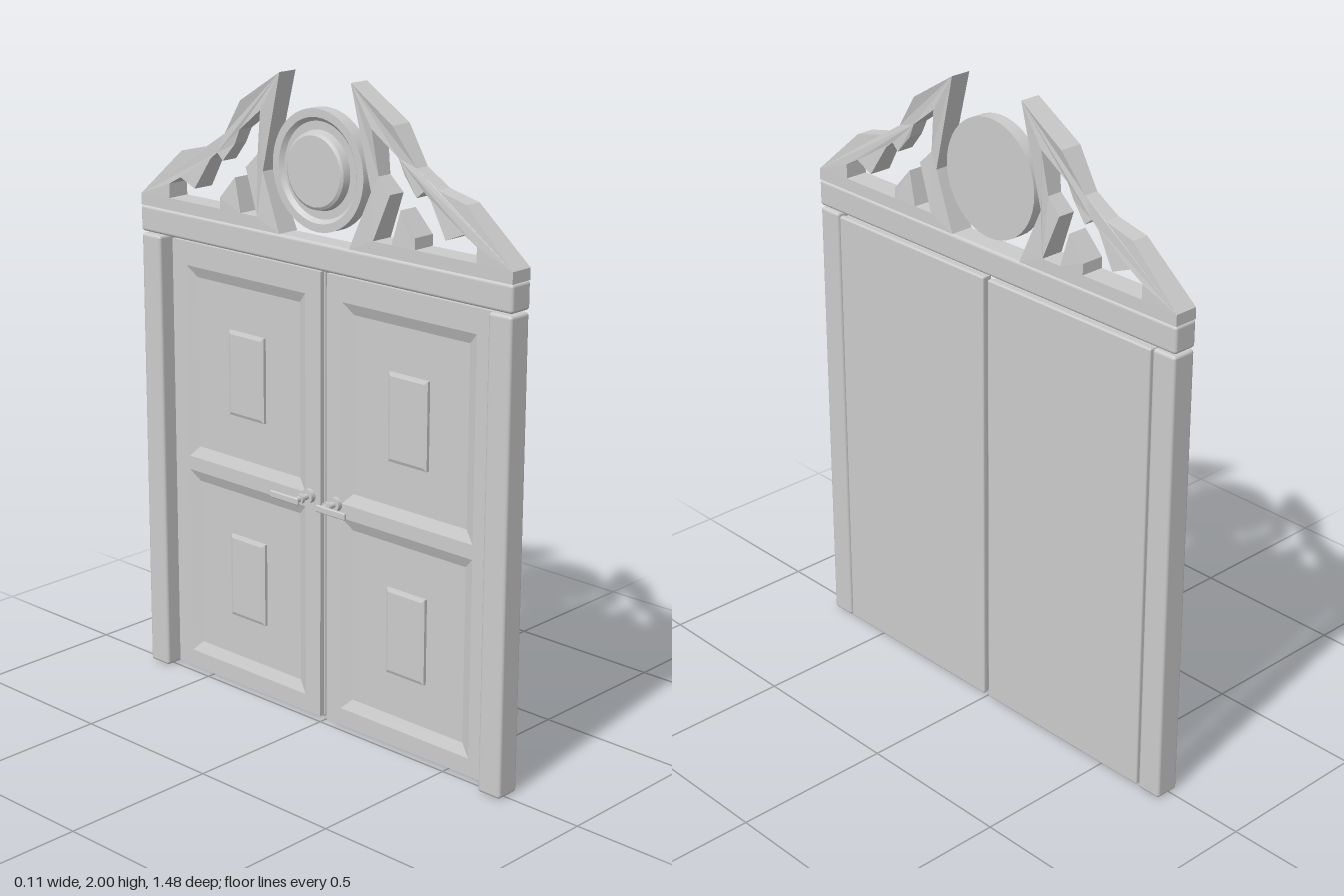
import * as THREE from 'three';
import { toCreasedNormals } from 'three/addons/utils/BufferGeometryUtils.js';
import { RoundedBoxGeometry } from 'three/addons/geometries/RoundedBoxGeometry.js';

const grey = new THREE.MeshStandardMaterial({ color: 0xcccccc });

function add(parent, name, geometry) {
  const mesh = new THREE.Mesh(geometry, grey);
  mesh.name = name;
  parent.add(mesh);
  return mesh;
}

// Softly bevelled block given by its limits
function block(x0, x1, y0, y1, z0, z1, bevel = 0.01) {
  const g = new RoundedBoxGeometry(x1 - x0, y1 - y0, z1 - z0, 2, bevel);
  return g.translate((x0 + x1) / 2, (y0 + y1) / 2, (z0 + z1) / 2);
}

// Nested rectangles facing -x; each loop is [x, half width, half height], the last is capped
function steppedRect(z, y, loops) {
  const pos = [];
  const idx = [];
  loops.forEach(([x, w, h], k) => {
    pos.push(x, y - h, z - w, x, y - h, z + w, x, y + h, z + w, x, y + h, z - w);
    if (k === 0) return;
    for (let i = 0; i < 4; i++) {
      const j = (i + 1) % 4, a = 4 * (k - 1), b = 4 * k;
      idx.push(a + i, a + j, b + j, a + i, b + j, b + i);
    }
  });
  const e = 4 * (loops.length - 1);
  idx.push(e, e + 1, e + 2, e, e + 2, e + 3);
  const g = new THREE.BufferGeometry();
  g.setAttribute('position', new THREE.Float32BufferAttribute(pos, 3));
  g.setIndex(idx);
  const flat = g.toNonIndexed();
  flat.computeVertexNormals();
  return flat;
}

const rectPoints = (z, y, w, h) =>
  [[-w, -h], [w, -h], [w, h], [-w, h]].map(([a, b]) => new THREE.Vector2(z + a, y + b));

// Extrude a (z, y) shape along x, from x1 down to x0
function extrudeX(shape, x0, x1) {
  const g = new THREE.ExtrudeGeometry(shape, { depth: x1 - x0, bevelEnabled: false });
  return g.rotateY(-Math.PI / 2).translate(x1, 0, 0);
}

// Door leaf with two sunken panels, each with a raised block
function makeDoor(side) {
  const door = new THREE.Group();
  door.name = side > 0 ? 'doorFront' : 'doorBack';
  const zc = side * 0.33, w = 0.321, pw = 0.255, ph = 0.31;
  const rows = [0.375, 1.04];
  add(door, 'doorSlab', block(0.03, 0.05, 0.005, 1.43, zc - w, zc + w, 0.006));
  const shape = new THREE.Shape(rectPoints(zc, 0.7175, w - 0.004, 0.708));
  rows.forEach(y => shape.holes.push(new THREE.Path(rectPoints(zc, y, pw, ph))));
  add(door, 'doorRails', extrudeX(shape, 0.014, 0.036));
  rows.forEach(y => {
    add(door, 'sunkenPanel', steppedRect(zc, y,
      [[0.014, pw, ph], [0.028, pw - 0.035, ph - 0.035]]));
    add(door, 'raisedBlock', steppedRect(zc, y,
      [[0.029, 0.075, 0.135], [0.018, 0.075, 0.135], [0.014, 0.065, 0.125]]));
  });
  // Lever handle
  const handle = new THREE.Group();
  handle.name = 'handle';
  const turned = (r, x0, x1) => new THREE.CylinderGeometry(r, r, x1 - x0, 20)
    .rotateZ(Math.PI / 2).translate((x0 + x1) / 2, 0, 0);
  add(handle, 'handleRose', turned(0.022, -0.002, 0.016));
  add(handle, 'handleStem', turned(0.01, -0.055, 0));
  add(handle, 'handleCollar', turned(0.016, -0.035, -0.025));
  add(handle, 'handleLever', block(-0.06, -0.05, -0.011, 0.011,
    side > 0 ? -0.018 : -0.1, side > 0 ? 0.1 : 0.018, 0.004));
  handle.position.set(0, 0.725, side * 0.055);
  door.add(handle);
  return door;
}

// Carved wing outline and its opening, as (z, y)
const wingOutline = [[0.74, 1.525], [0.74, 1.56], [0.565, 1.715], [0.46, 1.74], [0.38, 1.79],
  [0.3, 1.9], [0.14, 2], [0.215, 1.7], [0.14, 1.525]];
const wingOpening = [[0.612, 1.563], [0.39, 1.563], [0.39, 1.597], [0.33, 1.666], [0.302, 1.563],
  [0.232, 1.563], [0.287, 1.702], [0.24, 1.748], [0.22, 1.88], [0.315, 1.81], [0.336, 1.765],
  [0.385, 1.708], [0.41, 1.729], [0.437, 1.708], [0.5, 1.608], [0.564, 1.634], [0.612, 1.608]];

// Half thickness of the wing at each height: waisted in the middle
const waist = [[1.525, 0.038], [1.6, 0.037], [1.78, 0.022], [1.9, 0.036], [2, 0.033]];
function halfThickness(y) {
  for (let i = 1; i < waist.length; i++) {
    const [y0, t0] = waist[i - 1], [y1, t1] = waist[i];
    if (y <= y1) return THREE.MathUtils.mapLinear(y, y0, y1, t0, t1);
  }
  return waist[waist.length - 1][1];
}

function makeWing(side) {
  const toPoints = list => list.map(([z, y]) => new THREE.Vector2(side * z, y));
  const shape = new THREE.Shape(toPoints(wingOutline));
  shape.holes.push(new THREE.Path(toPoints(wingOpening)));
  const g = extrudeX(shape, -1, 1);
  const p = g.attributes.position;
  for (let i = 0; i < p.count; i++) {
    p.setX(i, 0.01 + Math.sign(p.getX(i)) * halfThickness(p.getY(i)));
  }
  g.computeVertexNormals();
  return g;
}

export function createModel() {
  const group = new THREE.Group();
  group.name = 'doubleDoor';

  // Frame
  add(group, 'header', block(-0.03, 0.05, 1.442, 1.525, -0.742, 0.742));
  for (const side of [1, -1]) {
    add(group, 'post', block(-0.03, 0.05, 0, 1.436, side * 0.699 - 0.041, side * 0.699 + 0.041));
    group.add(makeDoor(side));
    add(group, side > 0 ? 'wingFront' : 'wingBack', makeWing(side));
  }

  // Round medallion with a stepped face
  const profile = [[0, -0.03], [0.18, -0.03], [0.18, 0.012], [0.155, 0.012], [0.143, 0],
    [0.118, 0], [0.113, 0.022], [0.104, 0.028], [0, 0.028]].map(([r, h]) => new THREE.Vector2(r, h));
  const disc = new THREE.LatheGeometry(profile, 48).rotateZ(Math.PI / 2).translate(0, 1.73, 0);
  add(group, 'medallion', toCreasedNormals(disc, 0.5));

  return group;
}
